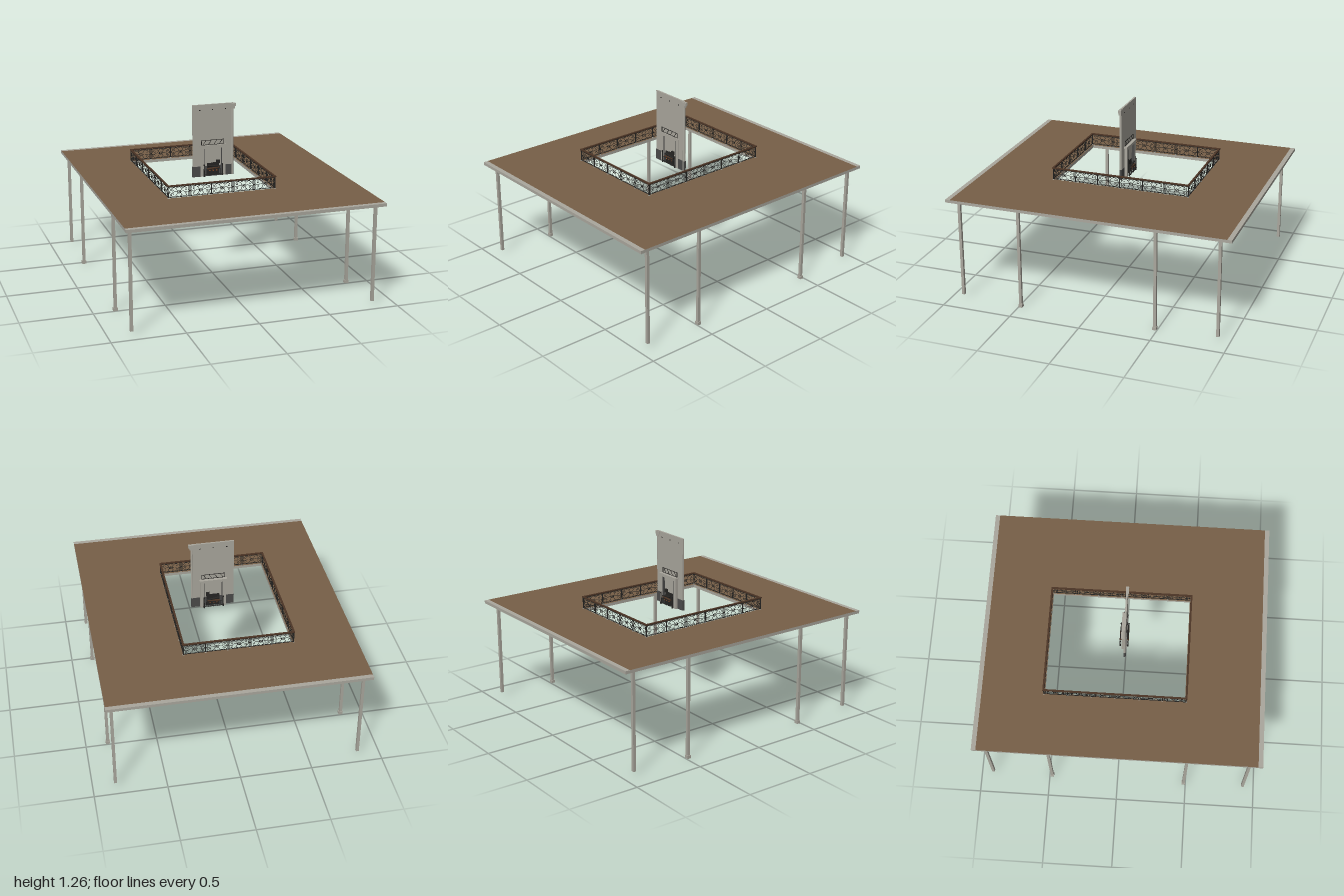
import * as THREE from 'three';
import { mergeGeometries } from 'three/addons/utils/BufferGeometryUtils.js';

const mat = (name, color) => Object.assign(new THREE.MeshStandardMaterial({ color }), { name });

export function createModel() {
  const root = new THREE.Group();
  root.name = 'galleryWithFireplace';
  const stone = mat('stone', 0xaaa79d);
  const wood = mat('floorWood', 0x775f47);
  const railWood = mat('railWood', 0x4c3526);
  const iron = mat('wroughtIron', 0x262523);
  const slate = mat('slate', 0x4b4b4a);
  const ember = mat('ember', 0xa8582a);

  const add = (name, geo, material, parent = root) => {
    const m = new THREE.Mesh(geo, material);
    m.name = name;
    parent.add(m);
    return m;
  };
  // box given by its limits
  const box = (name, x0, x1, y0, y1, z0, z1, material, parent) => {
    const g = new THREE.BoxGeometry(x1 - x0, y1 - y0, z1 - z0);
    g.translate((x0 + x1) / 2, (y0 + y1) / 2, (z0 + z1) / 2);
    return add(name, g, material, parent);
  };

  // Floor slab with a rectangular well
  const well = { x0: -0.45, x1: 0.297, z0: -0.527, z1: 0.447 };
  const floorPlate = (hx, hz, y, h) => {
    const s = new THREE.Shape([[-hx, -hz], [hx, -hz], [hx, hz], [-hx, hz]].map(p => new THREE.Vector2(...p)));
    const { x0, x1, z0, z1 } = well;
    s.holes.push(new THREE.Path([[x0, -z1], [x0, -z0], [x1, -z0], [x1, -z1]].map(p => new THREE.Vector2(...p))));
    const g = new THREE.ExtrudeGeometry(s, { depth: h, bevelEnabled: false });
    g.rotateX(-Math.PI / 2);
    g.translate(0, y, 0);
    return g;
  };
  add('floorSlab', floorPlate(0.888, 0.968, 0.72, 0.018), stone);
  add('woodFloor', floorPlate(0.888, 0.968, 0.738, 0.003), [wood, stone]);
  for (const s of [-1, 1]) {
    box('edgeTrim', -0.888, 0.888, 0.72, 0.741, s > 0 ? 0.968 : -1, s > 0 ? 1 : -0.968, stone);
  }

  // Supporting columns; the inner pairs stand on footings
  const legs = new THREE.Group();
  legs.name = 'columns';
  root.add(legs);
  for (const x of [-0.845, 0.845]) {
    for (const z of [0.918, 0.485, -0.482, -0.915]) {
      const inner = Math.abs(z) < 0.6;
      box('column', x - 0.01, x + 0.01, inner ? 0.02 : 0.027, 0.72, z - 0.01, z + 0.01, stone, legs);
      if (inner) box('footing', x - 0.015, x + 0.015, 0, 0.022, z - 0.013, z + 0.013, stone, legs);
    }
  }

  // Scrollwork of one railing panel: one unit wide, centred, resting on y = 0
  const W = 0.16;
  const tube = (pts, r = 0.0016) => new THREE.TubeGeometry(
    new THREE.CatmullRomCurve3(pts.map(([x, y]) => new THREE.Vector3(x, y, 0))), 18, r, 4);
  const scrolls = [];
  const ring = new THREE.TorusGeometry(0.01, 0.0018, 4, 12);
  ring.translate(0, 0.042, 0);
  const boss = new THREE.SphereGeometry(0.0045, 6, 4);
  boss.translate(0, 0.042, 0);
  scrolls.push(ring, boss);
  for (const sx of [-1, 1]) {
    for (const sy of [-1, 1]) {
      const flip = ([x, y]) => [x * sx, 0.042 + y * sy];
      scrolls.push(tube([[0.01, 0.002], [0.022, 0.024], [0.042, 0.031], [0.058, 0.021],
        [0.052, 0.009], [0.042, 0.013], [0.047, 0.019]].map(flip)));
      scrolls.push(tube([[0.075, 0.001], [0.066, 0.012], [0.067, 0.025], [0.074, 0.034]].map(flip)));
      scrolls.push(tube([[0.003, 0.036], [0.011, 0.028], [0.018, 0.031], [0.016, 0.036]].map(flip)));
    }
    scrolls.push(tube([[0.01, 0.042], [0.03, 0.046], [0.05, 0.038], [0.077, 0.042]].map(([x, y]) => [x * sx, y])));
  }
  const scrollGeo = mergeGeometries(scrolls);

  // One straight run of railing along local x
  const railing = new THREE.Group();
  railing.name = 'railing';
  root.add(railing);
  const run = (length, count, cx, cz, turn) => {
    const g = new THREE.Group();
    g.name = 'railingSide';
    const h = length / 2, step = length / count;
    box('handrail', -h - 0.006, h + 0.006, 0.083, 0.091, -0.0065, 0.0065, railWood, g);
    box('upperBar', -h, h, 0.077, 0.08, -0.002, 0.002, iron, g);
    box('lowerBar', -h, h, 0.006, 0.009, -0.002, 0.002, iron, g);
    for (let i = 0; i <= count; i++) {
      const x = -h + i * step;
      box('baluster', x - 0.0028, x + 0.0028, 0, 0.084, -0.0028, 0.0028, iron, g);
      box('balusterFoot', x - 0.005, x + 0.005, 0, 0.005, -0.005, 0.005, stone, g);
      if (i < count) {
        const p = add('scrollPanel', scrollGeo, iron, g);
        p.position.x = x + step / 2;
        p.scale.x = step / W;
      }
    }
    g.position.set(cx, 0.741, cz);
    g.rotation.y = turn;
    railing.add(g);
  };
  const L = -0.457, R = 0.304, B = -0.533, F = 0.454;
  for (const z of [B, F]) run(R - L, 5, (L + R) / 2, z, 0);
  for (const x of [L, R]) run(F - B, 6, x, (B + F) / 2, Math.PI / 2);

  // Chimney wall with a column and capital at its left end
  const fire = new THREE.Group();
  fire.name = 'fireplace';
  root.add(fire);
  box('chimneyWall', -0.148, 0.152, 0.74, 1.26, 0.002, 0.014, stone, fire);
  box('wallPlinth', -0.15, 0.155, 0.74, 0.815, 0, 0.016, slate, fire);
  const pillar = add('wallColumn', new THREE.CylinderGeometry(0.009, 0.009, 0.49, 12), stone, fire);
  pillar.position.set(0.146, 0.985, 0.009);
  box('capital', 0.126, 0.17, 1.235, 1.256, -0.001, 0.02, stone, fire);
  box('capitalNeck', 0.132, 0.162, 1.218, 1.235, 0, 0.019, stone, fire);
  for (const x of [-0.097, -0.003, 0.092]) {
    box('wallHook', x - 0.004, x + 0.004, 1.218, 1.224, 0, 0.016, iron, fire);
  }

  // Mantel surround, shallow in front and deep behind
  for (const [z0, z1] of [[0.013, 0.018], [-0.017, 0.003]]) {
    for (const s of [-1, 1]) {
      box('mantelJamb', s * 0.079 - 0.013, s * 0.079 + 0.013, 0.74, 0.945, z0, z1, stone, fire);
      box('innerMoulding', s * 0.064 - 0.002, s * 0.064 + 0.002, 0.74, 0.942, z0, z1 + 0.001, slate, fire);
    }
    box('mantelLintel', -0.092, 0.092, 0.942, 0.955, z0, z1, stone, fire);
    box('mantelShelf', -0.098, 0.098, 0.955, 0.966, z0 - (z0 < 0 ? 0.004 : 0), z1 + 0.001, stone, fire);
    box('fireOpening', -0.045, 0.045, 0.745, 0.835, z0 < 0 ? -0.003 : 0.014, z0 < 0 ? 0.001 : 0.017, iron, fire);
  }

  // Thin frame with slanted bars above the shelf
  for (const z of [0.0155, 0.0005]) {
    const bar = (x0, x1, y0, y1) => box('panelFrame', x0, x1, y0, y1, z - 0.0015, z + 0.0015, iron, fire);
    bar(-0.086, 0.082, 0.968, 0.971);
    bar(-0.086, 0.082, 1.001, 1.004);
    bar(-0.086, -0.083, 0.968, 1.004);
    bar(0.079, 0.082, 0.968, 1.004);
    for (let i = 0; i < 4; i++) {
      const slant = add('slantedBar', new THREE.BoxGeometry(0.0025, 0.036, 0.003), iron, fire);
      slant.position.set(-0.062 + i * 0.04, 0.986, z);
      slant.rotation.z = -0.6;
    }
  }

  // Grate, logs and embers on both faces
  for (const s of [-1, 1]) {
    const hearth = new THREE.Group();
    hearth.name = 'hearth';
    hearth.position.z = s > 0 ? 0.016 : -0.018;
    fire.add(hearth);
    const at = (name, geo, m, x, y, z, rz = 0) => {
      const o = add(name, geo, m, hearth);
      o.position.set(x, y, z * s);
      o.rotation.z = rz;
    };
    at('grateRail', new THREE.BoxGeometry(0.15, 0.004, 0.004), iron, 0, 0.755, 0.012);
    at('grateRail', new THREE.BoxGeometry(0.11, 0.004, 0.004), iron, 0, 0.79, 0.012);
    for (let i = -4; i <= 4; i++) at('grateBar', new THREE.BoxGeometry(0.003, 0.045, 0.003), iron, i * 0.013, 0.77, 0.012);
    const log = new THREE.CylinderGeometry(0.007, 0.007, 0.09, 8);
    at('log', log, railWood, 0, 0.798, 0.008, Math.PI / 2 + 0.08);
    at('log', log, iron, 0.005, 0.811, 0.006, Math.PI / 2 - 0.15);
    for (const x of [-0.025, 0, 0.025]) at('ember', new THREE.IcosahedronGeometry(0.006, 0), ember, x, 0.782, 0.008);
    for (const x of [-0.068, 0.068]) {
      at('andiron', new THREE.CylinderGeometry(0.003, 0.005, 0.08, 8), iron, x, 0.781, 0.01);
      at('andironKnob', new THREE.SphereGeometry(0.006, 8, 6), iron, x, 0.825, 0.01);
    }
  }
  box('kettle', 0.025, 0.05, 0.83, 0.855, -0.01, 0.024, iron, fire);
  box('kettleArm', -0.015, 0.05, 0.83, 0.838, 0.014, 0.02, iron, fire);
  return root;
}
